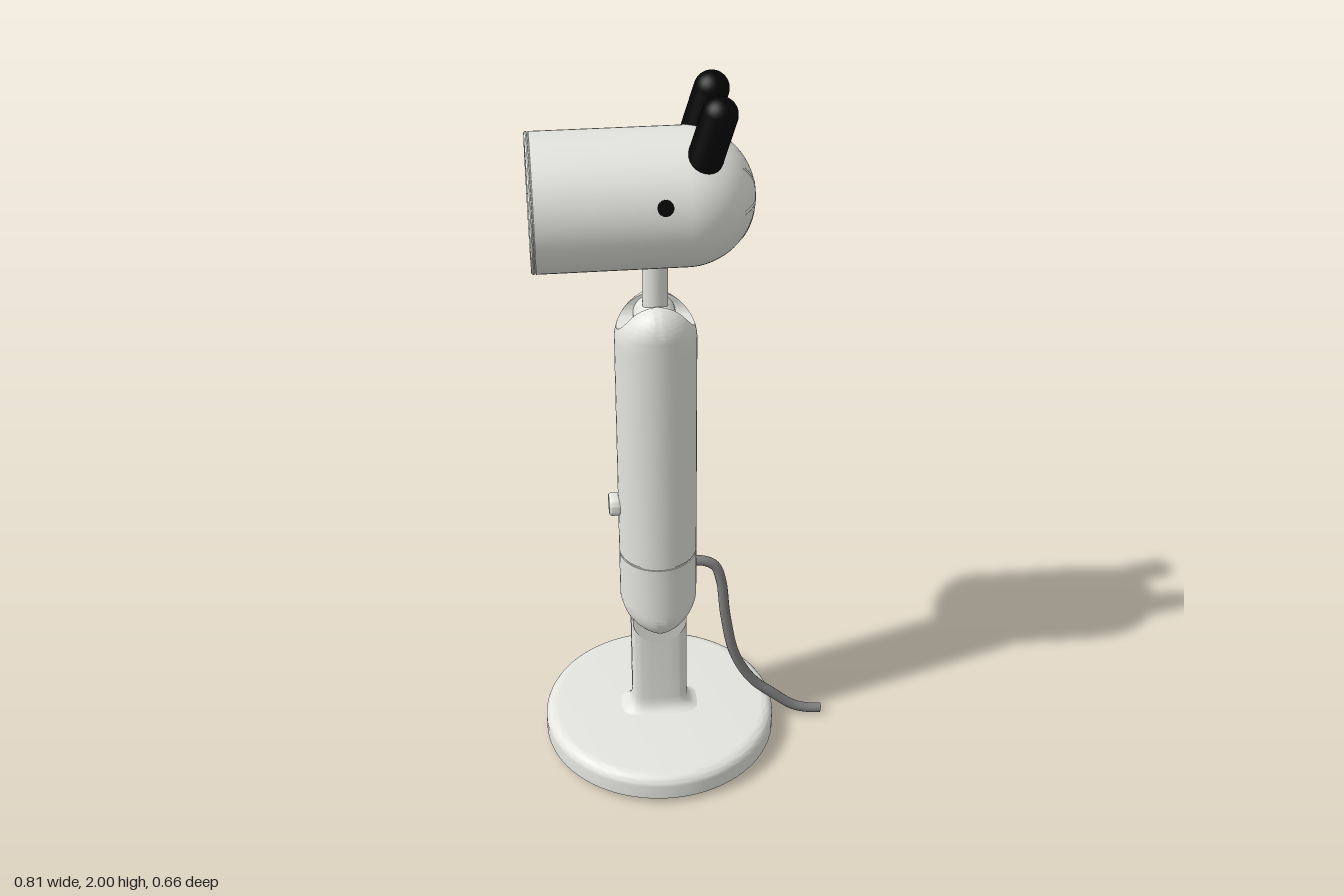
import * as THREE from 'three';
import { toCreasedNormals } from 'three/addons/utils/BufferGeometryUtils.js';

const CX = -0.076; // x of the stand's axis
const HEAD_Y = 1.711, HEAD_R = 0.173;

const mat = (name, color) => {
  const m = new THREE.MeshStandardMaterial({ color });
  m.name = name;
  return m;
};

// Skin a list of equal-length closed rings, with flat ends.
function loft(rings) {
  const n = rings[0].length, pos = [], idx = [];
  rings.forEach((r) => r.forEach((p) => pos.push(...p)));
  for (let i = 0; i < rings.length - 1; i++) {
    for (let j = 0; j < n; j++) {
      const a = i * n + j, b = i * n + ((j + 1) % n);
      idx.push(a, b, a + n, b, b + n, a + n);
    }
  }
  const last = (rings.length - 1) * n;
  for (let j = 1; j < n - 1; j++) {
    idx.push(0, j + 1, j, last, last + j, last + j + 1);
  }
  const g = new THREE.BufferGeometry();
  g.setAttribute('position', new THREE.Float32BufferAttribute(pos, 3));
  g.setIndex(idx);
  return toCreasedNormals(g, 0.6);
}

const lathe = (pts, seg = 64) =>
  toCreasedNormals(new THREE.LatheGeometry(pts.map((p) => new THREE.Vector2(...p)), seg), 0.6);

// Half widths of the arm at distance d from its tip.
function armSize(d) {
  const round = (r) => Math.sqrt(Math.max(0, 1 - (1 - Math.min(d / r, 1)) ** 2));
  return [0.107 * Math.max(round(0.11), 0.02), 0.047 + 0.06 * round(0.075)];
}

// Solid part of the arm, from distance d0 to d1 below the tip at y = 0.
function armSolid(d0, d1) {
  const rings = [];
  for (let i = 0; i <= 12; i++) {
    const d = i === 12 ? d0 : i === 0 ? d1 : d0 + 0.11 * (1 - i / 12);
    const [rx, rz] = armSize(d), ring = [];
    for (let j = 0; j < 48; j++) {
      const a = (j / 48) * Math.PI * 2;
      ring.push([rx * Math.sin(a), -d, rz * Math.cos(a)]);
    }
    rings.push(ring);
  }
  return loft(rings);
}

// One fork cheek beside a U-shaped slot of the given depth.
function armCheek(depth) {
  const rings = [], s0 = 0.042;
  for (let i = 0; i <= 20; i++) {
    const t = 1 - Math.cos((i / 20) * Math.PI / 2);
    const d = depth * (1 - (i < 20 ? (t + i / 20) / 2 : 1));
    const h = Math.min(depth - d, s0);
    const s = Math.sqrt(s0 * s0 - (s0 - h) ** 2);
    const [rx, rz] = armSize(d), A = Math.acos(s / rz), ring = [];
    for (let j = 0; j <= 24; j++) {
      const a = -A + (2 * A * j) / 24;
      ring.push([rx * Math.sin(a), -d, rz * Math.cos(a)]);
    }
    rings.push(ring);
  }
  return loft(rings);
}

export function createModel() {
  const model = new THREE.Group();
  const shell = mat('warm white shell', 0xe4e4df);
  const black = mat('black', 0x050505);
  const cordGrey = mat('cord grey', 0x808080);

  const add = (name, geo, m, x = 0, y = 0, z = 0, parent = model) => {
    const mesh = new THREE.Mesh(geo, m);
    mesh.name = name;
    mesh.position.set(x, y, z);
    parent.add(mesh);
    return mesh;
  };
  const UP = new THREE.Vector3(0, 1, 0);
  const aim = (mesh, x, y, z) =>
    mesh.quaternion.setFromUnitVectors(UP, new THREE.Vector3(x, y, z).normalize());

  // Round base with softened top edge
  const basePts = [[0, 0.008], [0.32, 0.008], [0.332, 0.018], [0.332, 0.06]];
  for (let i = 1; i <= 8; i++) {
    const a = (i / 8) * Math.PI / 2;
    basePts.push([0.297 + 0.035 * Math.cos(a), 0.06 + 0.03 * Math.sin(a)]);
  }
  basePts.push([0, 0.09]);
  add('base', lathe(basePts, 80), shell, CX);
  // Feet, screws and centre bolt underneath
  for (let i = 0; i < 6; i++) {
    const a = (i / 6) * Math.PI * 2, c = Math.cos(a), s = Math.sin(a);
    add('foot', new THREE.CylinderGeometry(0.037, 0.037, 0.009, 24), shell, CX + 0.27 * c, 0.0045, 0.27 * s);
    if (i % 2) add('baseScrew', new THREE.CylinderGeometry(0.014, 0.014, 0.004, 16), shell, CX + 0.16 * c, 0.007, 0.16 * s);
  }
  add('baseBoltRing', new THREE.CylinderGeometry(0.045, 0.045, 0.004, 32), black, CX, 0.007);
  add('baseBolt', new THREE.CylinderGeometry(0.024, 0.024, 0.004, 6), shell, CX, 0.005);

  // Flat post flaring into the base, rounded at its top pivot
  const postRows = [[0.088, 0.036], [0.094, 0.021], [0.104, 0.009], [0.118, 0.002], [0.135, 0], [0.42, 0]];
  const power = (v) => Math.sign(v) * Math.sqrt(Math.abs(v));
  add('post', loft(postRows.map(([y, f]) => {
    const ring = [];
    for (let j = 0; j < 48; j++) {
      const a = (j / 48) * Math.PI * 2;
      ring.push([(0.079 + f) * power(Math.sin(a)), y, (0.04 + f * 0.7) * power(Math.cos(a))]);
    }
    return ring;
  })), shell, CX);
  const pivot = (name, r, y) =>
    add(name, new THREE.CylinderGeometry(r, r, 0.08, 40).rotateX(Math.PI / 2), shell, CX, y);
  pivot('postPivot', 0.076, 0.42);

  // Arm: upper and lower halves, each ending in a two-cheek fork
  const arm = (name, tipY, depth, length, flip) => {
    const g = new THREE.Group();
    g.name = name;
    g.position.set(CX, tipY, 0);
    if (flip) g.rotation.x = Math.PI;
    add('armTube', armSolid(depth, length), shell, 0, 0, 0, g);
    const cheek = armCheek(depth);
    add('forkCheek', cheek, shell, 0, 0, 0, g);
    add('forkCheek', cheek, shell, 0, 0, 0, g).rotation.y = Math.PI;
    model.add(g);
  };
  arm('upperArm', 1.43, 0.075, 0.777, false);
  arm('lowerArm', 0.395, 0.105, 0.252, true);
  add('armSeam', new THREE.CylinderGeometry(0.104, 0.104, 0.02, 48), shell, CX, 0.65);

  // Pivot screws set into the back
  for (const y of [1.32, 0.49]) {
    add('pivotScrew', new THREE.CylinderGeometry(0.014, 0.014, 0.006, 20).rotateX(Math.PI / 2), shell, CX, y, -0.105);
  }

  // Control knob on the arm
  const knob = add('knob', lathe([[0.03, 0], [0.032, 0.008], [0.032, 0.026], [0.028, 0.032], [0, 0.034]], 32),
    shell, CX - 0.1, 0.805);
  knob.rotation.z = Math.PI / 2;

  // Neck with its pivot in the upper fork
  add('neck', new THREE.CylinderGeometry(0.033, 0.033, 0.2, 32), shell, CX, 1.47);
  pivot('neckPivot', 0.055, 1.37);

  // Head: tube along x, domed at the right, recessed lamp at the other end
  const headPts = [[0, -0.36], [0.152, -0.36], [0.154, -0.385], [0.17, -0.385], [HEAD_R, -0.381],
    [HEAD_R, -0.378], [0.17, -0.377], [0.17, -0.375], [HEAD_R, -0.374]];
  for (let i = 0; i <= 20; i++) {
    const a = (i / 20) * Math.PI / 2;
    headPts.push([i === 20 ? 0 : HEAD_R * Math.cos(a), HEAD_R * Math.sin(a)]);
  }
  add('head', lathe(headPts).rotateZ(-Math.PI / 2), shell, 0, HEAD_Y);

  // Six radial ribs on the dome
  for (let i = 0; i < 6; i++) {
    const f = (i / 6) * Math.PI * 2, pts = [];
    for (let j = 0; j <= 4; j++) {
      const t = 0.26 + 0.105 * j;
      pts.push(new THREE.Vector3(Math.cos(t), Math.sin(t) * Math.sin(f), Math.sin(t) * Math.cos(f)).multiplyScalar(HEAD_R - 0.004));
    }
    add('domeRib', new THREE.TubeGeometry(new THREE.CatmullRomCurve3(pts), 10, 0.006, 8), shell, 0, HEAD_Y);
  }

  // Eyes and ears, mirrored
  for (const side of [-1, 1]) {
    const ny = 0.049 / HEAD_R, nz = side * Math.sqrt(1 - ny * ny);
    const eye = add('eye', new THREE.CylinderGeometry(0.02, 0.02, 0.004, 24), black, -0.063, HEAD_Y + 0.049, nz * (HEAD_R - 0.001));
    aim(eye, 0, ny, nz);
    const ear = add('ear', new THREE.CapsuleGeometry(0.044, 0.122, 10, 24), black, 0.055, 1.896, side * 0.083);
    aim(ear, 0.31, 1, 0);
  }

  // Power cord trailing to the ground
  const path = [[0.015, 0.597, 0], [0.055, 0.592, 0], [0.085, 0.572, 0], [0.102, 0.52, 0.003], [0.115, 0.4, 0.008],
    [0.145, 0.25, 0.005], [0.2, 0.145, 0], [0.26, 0.088, 0], [0.32, 0.038, 0], [0.36, 0.022, 0], [0.405, 0.016, 0]];
  const curve = new THREE.CatmullRomCurve3(path.map((p) => new THREE.Vector3(...p)));
  add('cord', new THREE.TubeGeometry(curve, 80, 0.0145, 12), cordGrey);
  const end = add('cordEnd', new THREE.CircleGeometry(0.0145, 12), cordGrey, 0.405, 0.016);
  end.rotation.y = Math.PI / 2;

  return model;
}
